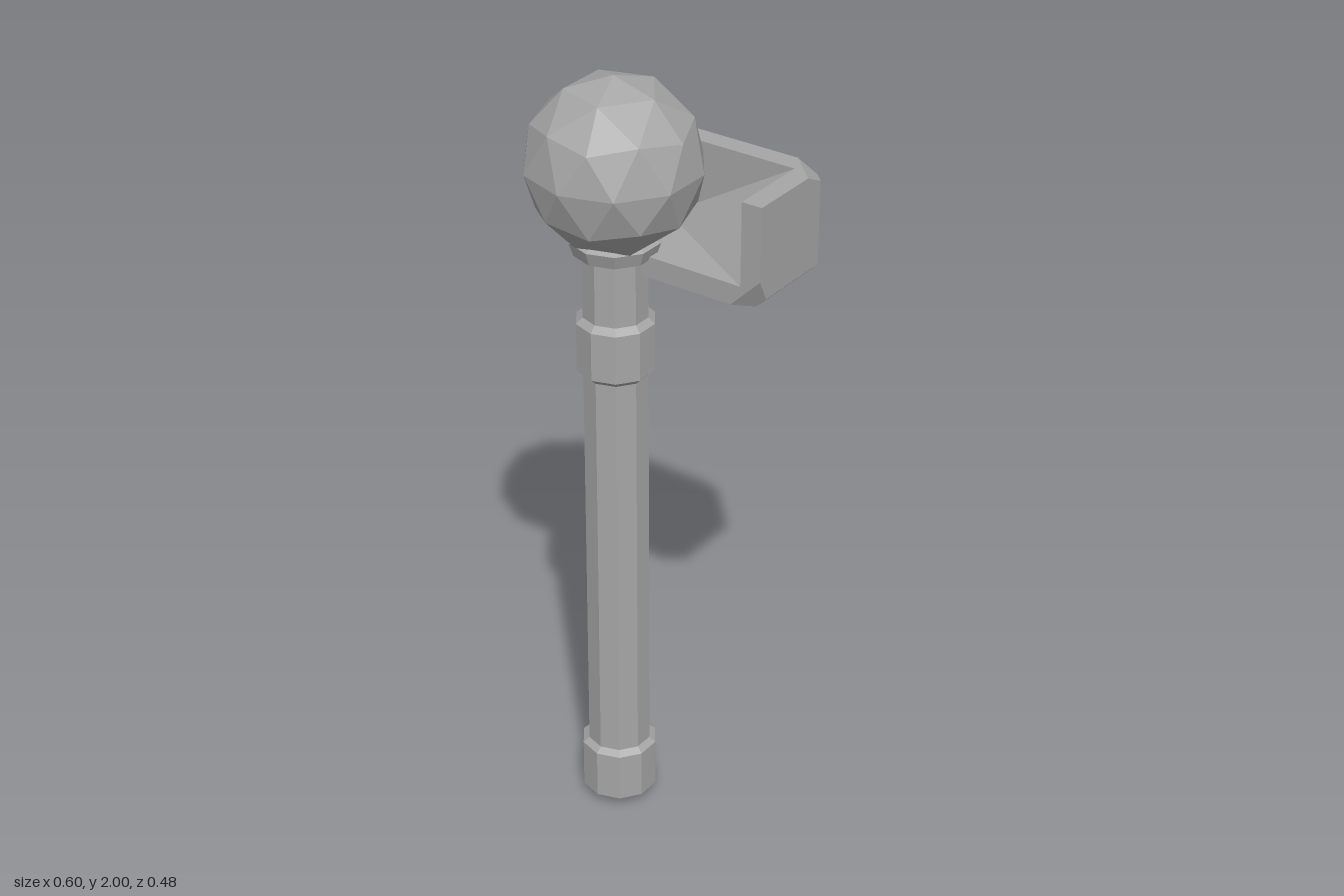
import * as THREE from 'three';

const AXIS_X = -0.1, AXIS_Z = 0.025;

// Corner bracket: three walls meeting at a chamfered corner, built once and repeated for each axis
function bracketGeometry() {
  const len = [0.401, 0.262, 0.265];
  const level = { O: () => 0, C: () => 0.026, I: () => 0.053, D: () => 0.079, N: (l) => l - 0.026, E: (l) => l };
  const faces = [
    'OCC OCN ODE OEE OED ONC',             // outer wall
    'OCC COC CON OCN',                     // long chamfer
    'IIE IEE OEE ODE CIE ICE DOE EOE EIE', // rim
    'ODE OCN CIE',                         // notch in the rim at the chamfer
    'CIE OCN CON ICE',
    'ICE CON DOE',
    'IEE IIE IEI',                         // inner wall
  ];
  const pos = [];
  const emit = (face, shift) => {
    const pts = face.split(' ').map((key) => {
      const t = [];
      for (let i = 0; i < 3; i++) {
        const axis = (i + shift) % 3;
        t[axis] = level[key[i]](len[axis]);
      }
      return [0.301 - t[0], 1.525 + t[1], -0.24 + t[2]];
    });
    // x runs backwards, so the winding is reversed
    for (let i = 1; i < pts.length - 1; i++) pos.push(...pts[0], ...pts[i + 1], ...pts[i]);
  };
  for (let shift = 0; shift < 3; shift++) faces.forEach((f) => emit(f, shift));
  emit('OCC CCO COC', 0); // clipped outer corner
  emit('EII IEI IIE', 0); // sloped fill in the inner corner
  const geo = new THREE.BufferGeometry();
  geo.setAttribute('position', new THREE.Float32BufferAttribute(pos, 3));
  geo.computeVertexNormals();
  return geo;
}

export function createModel() {
  const group = new THREE.Group();
  const grey = new THREE.MeshStandardMaterial({ color: 0xa6a6a6, flatShading: true, side: THREE.DoubleSide });
  grey.name = 'grey';

  const add = (name, geo, x = 0, y = 0, z = 0) => {
    const mesh = new THREE.Mesh(geo, grey);
    mesh.name = name;
    mesh.position.set(x, y, z);
    group.add(mesh);
  };

  // Turned, ten-sided parts of the shaft
  const turned = (name, profile) => add(
    name,
    new THREE.LatheGeometry(profile.map(([r, y]) => new THREE.Vector2(r, y)), 10),
    AXIS_X, 0, AXIS_Z,
  );
  turned('shaft', [[0.081, 0.1], [0.081, 1.6]]);
  turned('endCap', [[0, 0], [0.05, 0.01], [0.097, 0.035], [0.097, 0.167], [0.081, 0.18]]);
  turned('gripRing', [[0.081, 1.25], [0.097, 1.265], [0.097, 1.39], [0.081, 1.405]]);
  turned('neckCollar', [[0.081, 1.56], [0.1, 1.568], [0.112, 1.603], [0.09, 1.615]]);

  // Faceted ball with one corner pointing straight up
  const ball = new THREE.IcosahedronGeometry(0.213, 1);
  ball.rotateZ(-Math.atan(2 / (1 + Math.sqrt(5))));
  add('ballHead', ball, AXIS_X, 1.787, AXIS_Z);

  add('cornerBracket', bracketGeometry());
  return group;
}
